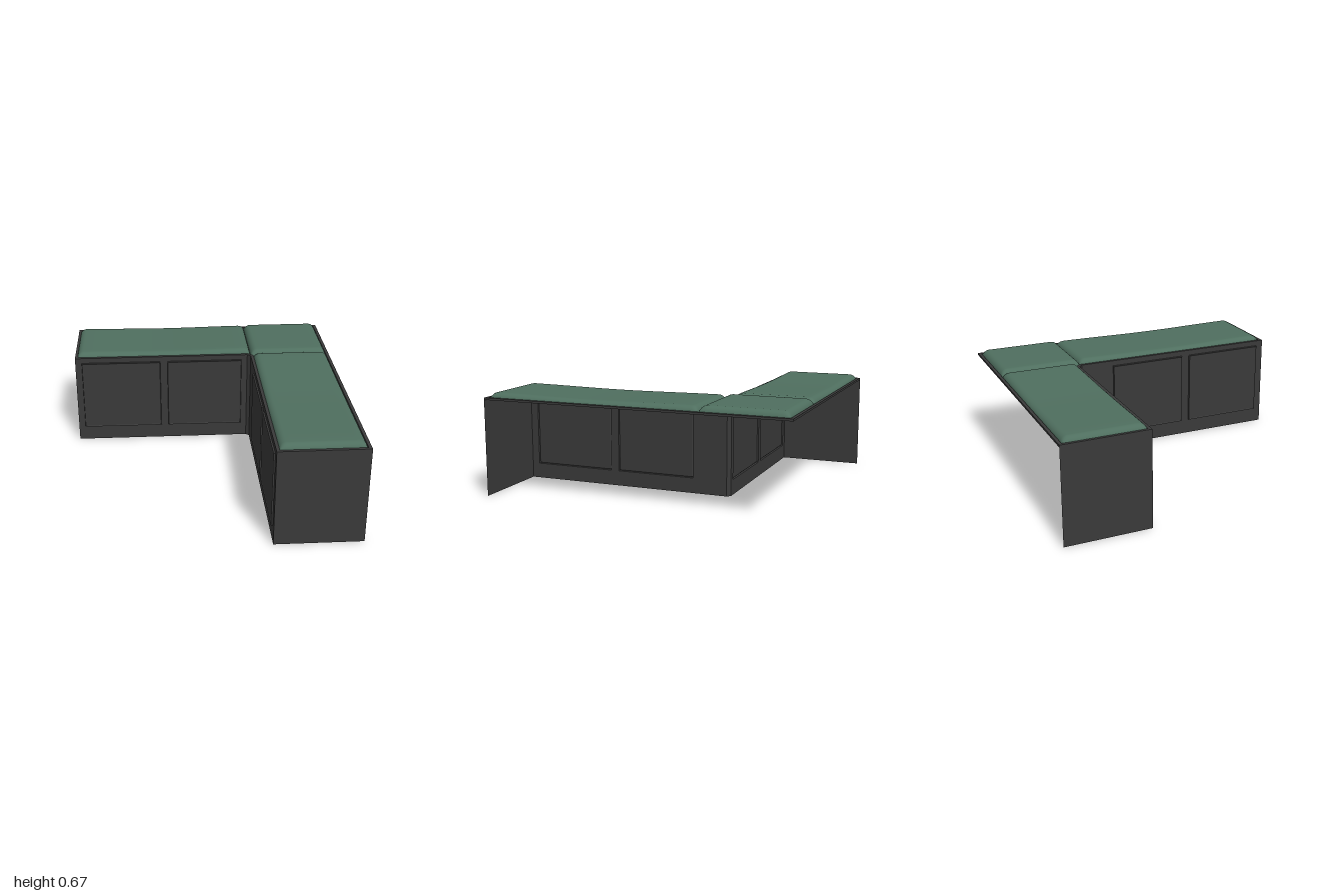
import * as THREE from 'three';

const TOP = 0.636, ARM = 0.442, INNER = 0.342;
const wood = new THREE.MeshStandardMaterial({ color: 0x3a3a3a, side: THREE.DoubleSide, flatShading: true });
const fabric = new THREE.MeshStandardMaterial({ color: 0x4f6f5f, side: THREE.DoubleSide });

// Surface joining stacked outlines [points, height], closed by a flat cap on the last one
function loft(rings) {
  const n = rings[0][0].length, pos = [], index = [];
  for (const [points, h] of rings) for (const [x, y] of points) pos.push(x, y, h);
  for (let r = 0; r < rings.length - 1; r++) {
    for (let i = 0; i < n; i++) {
      const a = r * n + i, b = r * n + (i + 1) % n;
      index.push(a, b, b + n, a, b + n, a + n);
    }
  }
  const last = rings.length - 1;
  const contour = rings[last][0].map(([x, y]) => new THREE.Vector2(x, y));
  for (const f of THREE.ShapeUtils.triangulateShape(contour, [])) index.push(...f.map(i => i + last * n));
  const g = new THREE.BufferGeometry();
  g.setAttribute('position', new THREE.Float32BufferAttribute(pos, 3));
  g.setIndex(index);
  const flat = g.toNonIndexed();
  flat.computeVertexNormals();
  return flat;
}

function add(parent, name, geometry, material = wood) {
  const mesh = new THREE.Mesh(geometry, material);
  mesh.name = name;
  parent.add(mesh);
  return mesh;
}

const rect = (x0, x1, y0, y1, d = 0) =>
  [[x0 + d, y0 + d], [x1 - d, y0 + d], [x1 - d, y1 - d], [x0 + d, y1 - d]];

// Upright wall in the xy plane with raised, bevelled panels
function panelWall(name, x0, x1, spans) {
  const group = new THREE.Group();
  group.name = name;
  const toPath = (p, C) => new C(p.map(([x, y]) => new THREE.Vector2(x, y)));
  const shape = toPath(rect(x0, x1, 0, TOP), THREE.Shape);
  for (const [a, b] of spans) {
    shape.holes.push(toPath(rect(a, b, 0.1, 0.6), THREE.Path));
    add(group, 'raisedPanel', loft([
      [rect(a, b, 0.1, 0.6), 0],
      [rect(a, b, 0.1, 0.6, 0.003), 0.011],
      [rect(a, b, 0.1, 0.6, 0.01), 0.007],
    ]));
  }
  add(group, 'wallSheet', new THREE.ShapeGeometry(shape));
  return group;
}

// L outline of the bench, inset by d, with the inner corner cut off
function outline(d) {
  const c = d * 0.414;
  return [
    [-0.9 + d, -1 + d], [0.9 - d, -1 + d], [0.9 - d, 1 - d], [INNER + d, 1 - d],
    [INNER + d, -0.42 - c], [0.32 + c, -ARM - d], [-0.9 + d, -ARM - d],
  ].map(([x, z]) => [x, -z]).reverse();
}

// Cushion with rounded edges and a slight sag along its length
function cushion(x0, x1, z0, z1, height, sag) {
  const n = 28, edge = 0.045, base = 0.622;
  const w = x1 - x0, l = z1 - z0;
  const g = new THREE.PlaneGeometry(1, 1, n, n).rotateX(-Math.PI / 2);
  const p = g.attributes.position;
  // Gather grid lines towards the rounded rim
  const spread = (t, size) => {
    const i = Math.round((t + 0.5) * n), k = 6;
    const j = Math.min(i, n - i);
    const d = j <= k ? edge * (1 - Math.cos(j / k * Math.PI / 2))
      : edge + (size / 2 - edge) * (j - k) / (n / 2 - k);
    return i <= n / 2 ? d : size - d;
  };
  const round = d => {
    const t = 1 - Math.min(d / edge, 1);
    return Math.sqrt(Math.max(0, 1 - t * t));
  };
  for (let i = 0; i < p.count; i++) {
    const u = spread(p.getX(i), w), v = spread(p.getZ(i), l);
    const rise = round(Math.min(u, w - u)) * round(Math.min(v, l - v));
    const along = w > l ? u / w : v / l;
    const dip = sag * Math.sin(along * Math.PI) ** 2;
    p.setXYZ(i, x0 + u, base + rise * (height - base - dip), z0 + v);
  }
  g.computeVertexNormals();
  return g;
}

export function createModel() {
  const model = new THREE.Group();
  model.name = 'cornerBench';

  // Inner walls; the outer sides stay open
  const backWall = panelWall('backArmWall', -0.9, 0.32, [[-0.855, -0.3], [-0.25, 0.28]]);
  backWall.position.z = -ARM;
  const sideWall = panelWall('sideArmWall', -0.42, 1, [[-0.19, 0.34], [0.395, 0.95]]);
  sideWall.rotation.y = -Math.PI / 2;
  sideWall.position.x = INNER;
  model.add(backWall, sideWall);

  // Narrow angled strip in the inner corner
  const strip = add(model, 'cornerStrip', new THREE.PlaneGeometry(Math.hypot(0.022, 0.022), TOP));
  strip.position.set(0.331, TOP / 2, -0.431);
  strip.rotation.y = -Math.PI / 4;

  // End walls
  const frontEnd = add(model, 'sideArmEnd', new THREE.PlaneGeometry(0.9 - INNER, TOP));
  frontEnd.position.set((0.9 + INNER) / 2, TOP / 2, 1);
  const backEnd = add(model, 'backArmEnd', new THREE.PlaneGeometry(1 - ARM, TOP));
  backEnd.position.set(-0.9, TOP / 2, -(1 + ARM) / 2);
  backEnd.rotation.y = -Math.PI / 2;

  // Shallow tray with a raised rim holding the cushions
  add(model, 'seatDeck', loft([
    [outline(0), 0.622], [outline(0), TOP], [outline(0.02), TOP], [outline(0.022), 0.624],
  ]).rotateX(-Math.PI / 2));

  // Cushions
  add(model, 'backArmCushion', cushion(-0.885, 0.343, -0.978, -0.46, 0.666, 0.008), fabric);
  add(model, 'cornerCushion', cushion(0.345, 0.878, -0.978, -0.428, 0.67, 0), fabric);
  add(model, 'sideArmCushion', cushion(0.36, 0.878, -0.427, 0.978, 0.666, 0.008), fabric);

  return model;
}
